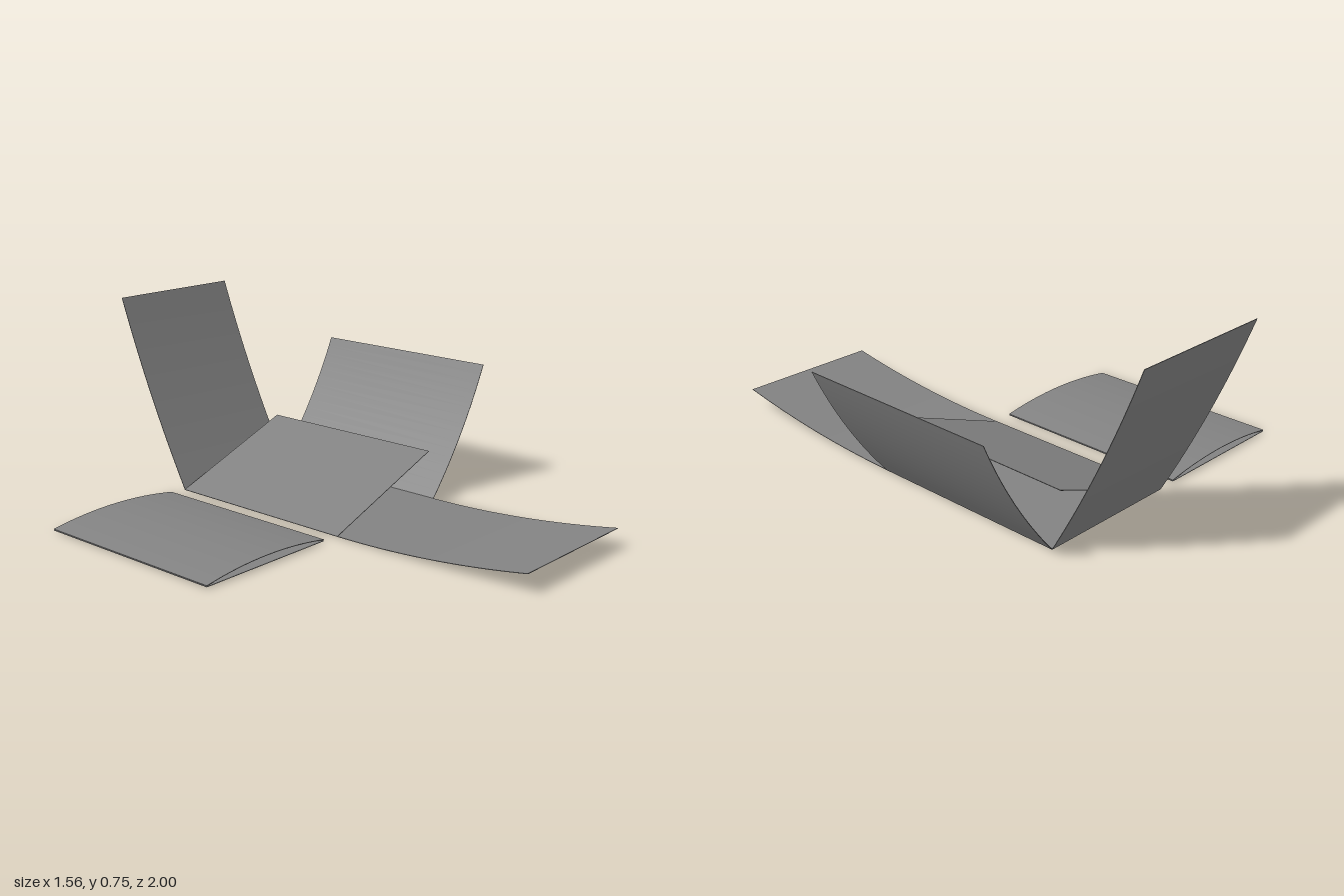
import * as THREE from 'three';

const material = new THREE.MeshStandardMaterial({ color: 0x828282, side: THREE.DoubleSide });
const THICKNESS = 0.002;

// Thin card: the profile a -> b (2D points, y second) bows by `sag` below its chord
// and is swept from s0 to s1 along the other ground axis.
function sheet(name, a, b, sag, s0, s1, alongX, segments = 16) {
  const dx = b[0] - a[0], dy = b[1] - a[1], len = Math.hypot(dx, dy), side = Math.sign(dx);
  const control = new THREE.Vector2(
    (a[0] + b[0]) / 2 + (2 * sag * side * dy) / len,
    (a[1] + b[1]) / 2 - (2 * sag * side * dx) / len);
  const curve = new THREE.QuadraticBezierCurve(new THREE.Vector2(...a), control, new THREE.Vector2(...b));
  const geo = new THREE.BoxGeometry(1, 1, 1, segments, 1, 1);
  const pos = geo.attributes.position;
  // Reverse the sweep where the axes swap, so that faces stay outward
  const reversed = alongX && side > 0;
  for (let i = 0; i < pos.count; i++) {
    const t = pos.getX(i) + 0.5, v = pos.getZ(i) + 0.5;
    const p = curve.getPoint(t), dir = curve.getTangent(t);
    const offset = pos.getY(i) * THICKNESS * side;
    const u = p.x - dir.y * offset, y = p.y + dir.x * offset;
    const s = THREE.MathUtils.lerp(s0, s1, reversed ? 1 - v : v);
    if (alongX) pos.setXYZ(i, s, y, u);
    else pos.setXYZ(i, u, y, s);
  }
  geo.computeVertexNormals();
  const mesh = new THREE.Mesh(geo, material);
  mesh.name = name;
  return mesh;
}

export function createModel() {
  const group = new THREE.Group();
  group.name = 'unfoldedBox';
  const x0 = -0.122, x1 = 0.462, z0 = -0.65, z1 = 0.175, y0 = THICKNESS / 2;

  group.add(
    // Flat floor panel
    sheet('floorPanel', [x0, y0], [x1, y0], 0, z0, z1, false, 1),
    // Flaps hinged on the floor's edges, curling upwards
    sheet('frontFlap', [z1, y0], [1, 0.075], 0.0185, x0, x1, true),
    sheet('backFlap', [z0, y0], [-1, 0.751], 0.016, x0, x1, true),
    sheet('leftFlap', [x1, y0], [0.78, 0.495], 0.021, z0, z1, false),
    // Panel folded over the floor from its right edge
    sheet('foldedPanel', [x0, y0], [0.425, 0.207], 0, z0, z1, false, 1));

  // Detached panel: flat sheet below an arched one
  const loose = new THREE.Group();
  loose.name = 'loosePanel';
  loose.add(
    sheet('looseBase', [-0.78, 0.005], [-0.195, 0.005], 0, z0, z1, false, 1),
    sheet('looseArch', [-0.78, 0.009], [-0.195, 0.009], -0.026, z0, z1, false));
  group.add(loose);
  return group;
}
